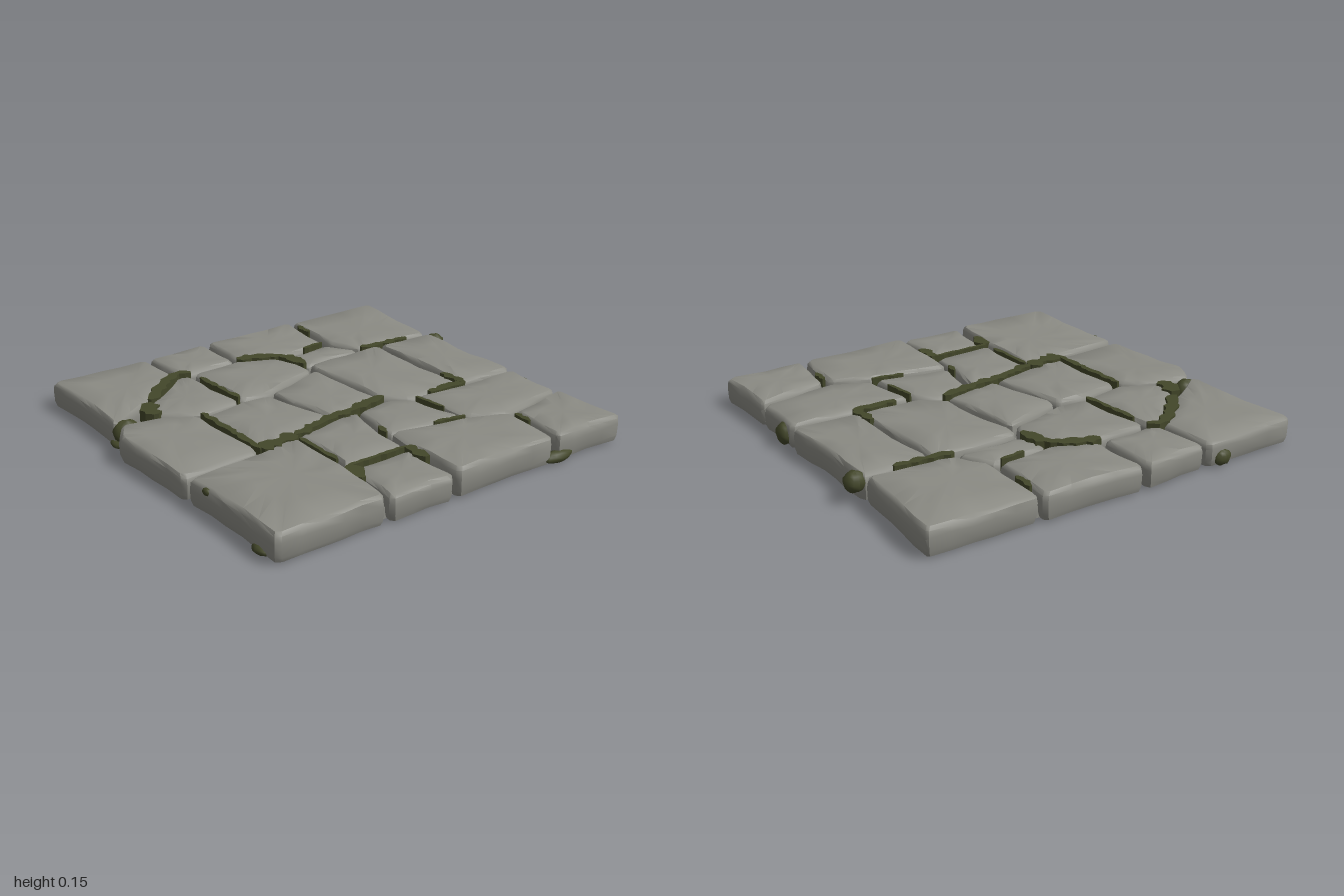
import * as THREE from 'three';
import { toCreasedNormals } from 'three/addons/utils/BufferGeometryUtils.js';

const stone = new THREE.MeshStandardMaterial({ color: 0x8b8b84 });
stone.name = 'grey stone';
const moss = new THREE.MeshStandardMaterial({ color: 0x43472a });
moss.name = 'olive moss';

// Repeatable wobble in the range -1..1
let seed = 7;
const wobble = () => {
  seed = (seed * 16807) % 2147483647;
  return (seed / 2147483647) * 2 - 1;
};

// Junctions where cracks meet, as x, z: capitals A to O run round the rim
const junctions = {
  A: [-0.95, -0.99], B: [-0.39, -0.94], C: [0.25, -0.94], D: [0.56, -0.93], E: [0.97, -0.93],
  F: [0.96, -0.51], G: [0.97, 0.07], H: [0.965, 0.43], I: [0.965, 0.97], J: [0.32, 0.98],
  K: [-0.31, 0.95], L: [-0.955, 0.96], M: [-0.96, 0.435], N: [-0.97, 0.08], O: [-0.96, -0.45],
  P: [-0.40, -0.61], Q: [-0.41, -0.51], R: [-0.59, -0.42], S: [0.24, -0.61], T: [0.24, -0.31],
  U: [0.64, -0.55], V: [0.545, -0.35], W: [0.15, -0.19], X: [0.19, 0], Y: [0.48, 0.05], Z: [0.64, 0.07],
  a: [-0.40, -0.15], b: [-0.32, -0.15], c: [-0.56, -0.11], d: [-0.66, 0.085], e: [-0.64, 0.365],
  f: [-0.67, 0.415], g: [-0.22, 0.345], h: [-0.21, 0.205], i: [0.20, 0.125], j: [0.26, 0.385],
  k: [0.29, 0.58], l: [-0.18, 0.585], m: [-0.29, 0.76], n: [-0.43, 0.73], o: [0.64, 0.385], p: [-0.20, 1.01],
};
const along = path => [...path].map(key => new THREE.Vector2(...junctions[key]));

// Each slab's corners, clockwise from above, and its top height
const slabs = {
  ABPQRO: 0.134, BCSP: 0.134, CDUVTS: 0.132, DEFU: 0.138, UFGZYV: 0.142, TVYXW: 0.128, PSTWbaQ: 0.134,
  QacR: 0.124, ORcdN: 0.132, NdefM: 0.130, abhgedc: 0.132, bWXih: 0.134, hijklg: 0.132, eglmnf: 0.130,
  MfnKL: 0.132, lkJpKm: 0.134, joHIJk: 0.140, XYZoji: 0.132, ZGHo: 0.130,
};

// Clipped corners and slightly uneven edges, pulled in by half a crack
function wornOutline(pts, centre) {
  const out = [];
  pts.forEach((p, i) => {
    const q = pts[(i + 1) % pts.length], len = p.distanceTo(q);
    const clip = Math.min(0.02 / len, 0.3), steps = Math.max(1, Math.round(len / 0.12));
    for (let s = 0; s <= steps; s++) {
      const v = p.clone().lerp(q, clip + (1 - 2 * clip) * s / steps);
      const inward = centre.clone().sub(v).setLength(0.012);
      out.push(v.add(inward).add(new THREE.Vector2(wobble() * 0.005, wobble() * 0.005)));
    }
  });
  return out;
}

// Slab made from stacked outline rings, closed at both ends
function slabGeometry(path, height) {
  const corners = along(path);
  const c = corners.reduce((sum, p) => sum.add(p), new THREE.Vector2()).divideScalar(corners.length);
  const outline = wornOutline(corners, c), n = outline.length;
  const tiltX = wobble() * 0.016, tiltZ = wobble() * 0.016;
  // inset, share drawn to the centre, height, unevenness
  const rings = [[0.012, 0, 0.01, 0], [0.002, 0, 0.035, 0.004], [0, 0, 0.09, 0.006],
    [0.005, 0, height - 0.018, 0.003], [0.022, 0, height - 0.004, 0.002], [0, 0.5, height, 0.004]];
  const pos = [c.x, 0.01, c.y], index = [];
  rings.forEach(([inset, share, y, rough], k) => outline.forEach(p => {
    const d = c.clone().sub(p);
    const v = p.clone().addScaledVector(d, share + inset / d.length());
    const lean = k > 2 ? (v.x - c.x) * tiltX + (v.y - c.y) * tiltZ : 0;
    pos.push(v.x, y + lean + wobble() * rough, v.y);
  }));
  const last = pos.push(c.x, height, c.y) / 3 - 1;
  for (let i = 0; i < n; i++) {
    const j = (i + 1) % n;
    index.push(0, 1 + i, 1 + j);
    for (let k = 0; k < rings.length - 1; k++) {
      const a = 1 + k * n + i, b = 1 + k * n + j;
      index.push(a, b + n, b, a, a + n, b + n);
    }
    index.push(last - n + i, last, last - n + j);
  }
  const g = new THREE.BufferGeometry();
  g.setAttribute('position', new THREE.Float32BufferAttribute(pos, 3));
  g.setIndex(index);
  return toCreasedNormals(g, 0.75);
}

// Flat prism between two heights from x, z points
function prism(points, bottom, top) {
  const shape = new THREE.Shape(points.map(p => new THREE.Vector2(p.x, -p.y)));
  const g = new THREE.ExtrudeGeometry(shape, { depth: top - bottom, bevelEnabled: false });
  return g.rotateX(-Math.PI / 2).translate(0, bottom, 0);
}

// Ragged moss strip filling part of a crack
function mossStrip([path, width, from = 0, to = 1]) {
  const curve = new THREE.CatmullRomCurve3(along(path).map(p => new THREE.Vector3(p.x, 0, p.y)));
  const steps = Math.max(5, Math.round(curve.getLength() * (to - from) / 0.025));
  const left = [], right = [];
  for (let s = 0; s <= steps; s++) {
    const u = from + (to - from) * s / steps;
    const p = curve.getPointAt(u), t = curve.getTangentAt(u);
    const w = s === 0 || s === steps ? width * 0.45 : width;
    const a = w * (0.85 + 0.45 * wobble()), b = w * (0.85 + 0.45 * wobble());
    left.push(new THREE.Vector2(p.x + t.z * a, p.z - t.x * a));
    right.unshift(new THREE.Vector2(p.x - t.z * b, p.z + t.x * b));
  }
  return prism([...left, ...right], 0.05, 0.138 + wobble() * 0.002);
}

// Lumpy moss clump: centre, then radii
function mossClump([x, y, z, rx, ry, rz]) {
  const g = new THREE.SphereGeometry(1, 12, 8);
  const p = g.attributes.position, v = new THREE.Vector3();
  for (let i = 0; i < p.count; i++) {
    v.fromBufferAttribute(p, i);
    v.multiplyScalar(0.93 + 0.07 * Math.sin(v.x * 5 + x * 9) * Math.cos(v.z * 6 + v.y * 4));
    p.setXYZ(i, v.x, v.y, v.z);
  }
  g.scale(rx, ry, rz).translate(x, y, z);
  g.computeVertexNormals();
  return g;
}

// Crack path, half width, and the stretch of the path covered
const strips = [
  ['BPQ', 0.022, 0.35], ['CST', 0.024, 0.5, 0.85], ['PS', 0.024, 0.78], ['OR', 0.018, 0.25, 0.55],
  ['Rc', 0.012, 0.1, 0.5], ['acd', 0.033], ['WXij', 0.03], ['jk', 0.04], ['lk', 0.016], ['efn', 0.03, 0, 0.9],
  ['eg', 0.014, 0.2, 0.95], ['nm', 0.042], ['ZG', 0.033, 0, 0.4], ['Zo', 0.01], ['oH', 0.036, 0, 0.4],
  ['jo', 0.012, 0.1, 0.8], ['VY', 0.012, 0, 0.4], ['UF', 0.016, 0.1, 0.4], ['TV', 0.01, 0.05, 0.6],
  ['XY', 0.014, 0.75],
];
const clumps = [
  [-0.34, 0.09, -0.945, 0.05, 0.05, 0.055],
  [0.34, 0.06, -0.92, 0.055, 0.055, 0.045],
  [0.945, 0.03, -0.54, 0.035, 0.03, 0.09],
  [-0.945, 0.04, 0.53, 0.035, 0.04, 0.05],
  [-0.33, 0.075, 0.89, 0.052, 0.06, 0.07],
  [-0.34, 0.022, 0.92, 0.055, 0.022, 0.045],
  [0.83, 0.02, 0.95, 0.055, 0.022, 0.035],
  [0.45, 0.11, 0.955, 0.026, 0.018, 0.016],
];

export function createModel() {
  const model = new THREE.Group();
  model.name = 'stonePaving';
  const add = (name, geometry, material) => {
    const mesh = new THREE.Mesh(geometry, material);
    mesh.name = name;
    model.add(mesh);
  };
  // Bed under the slabs, closing the cracks
  const rim = along('ABCDEFGHIJKLMNO').map(p => p.multiplyScalar(0.94));
  add('bed', prism(rim, 0.008, 0.06), stone);
  Object.entries(slabs).forEach(([path, height], i) => add(`slab${i + 1}`, slabGeometry(path, height), stone));
  strips.forEach((s, i) => add(`mossStrip${i + 1}`, mossStrip(s), moss));
  clumps.forEach((c, i) => add(`mossClump${i + 1}`, mossClump(c), moss));
  return model;
}
